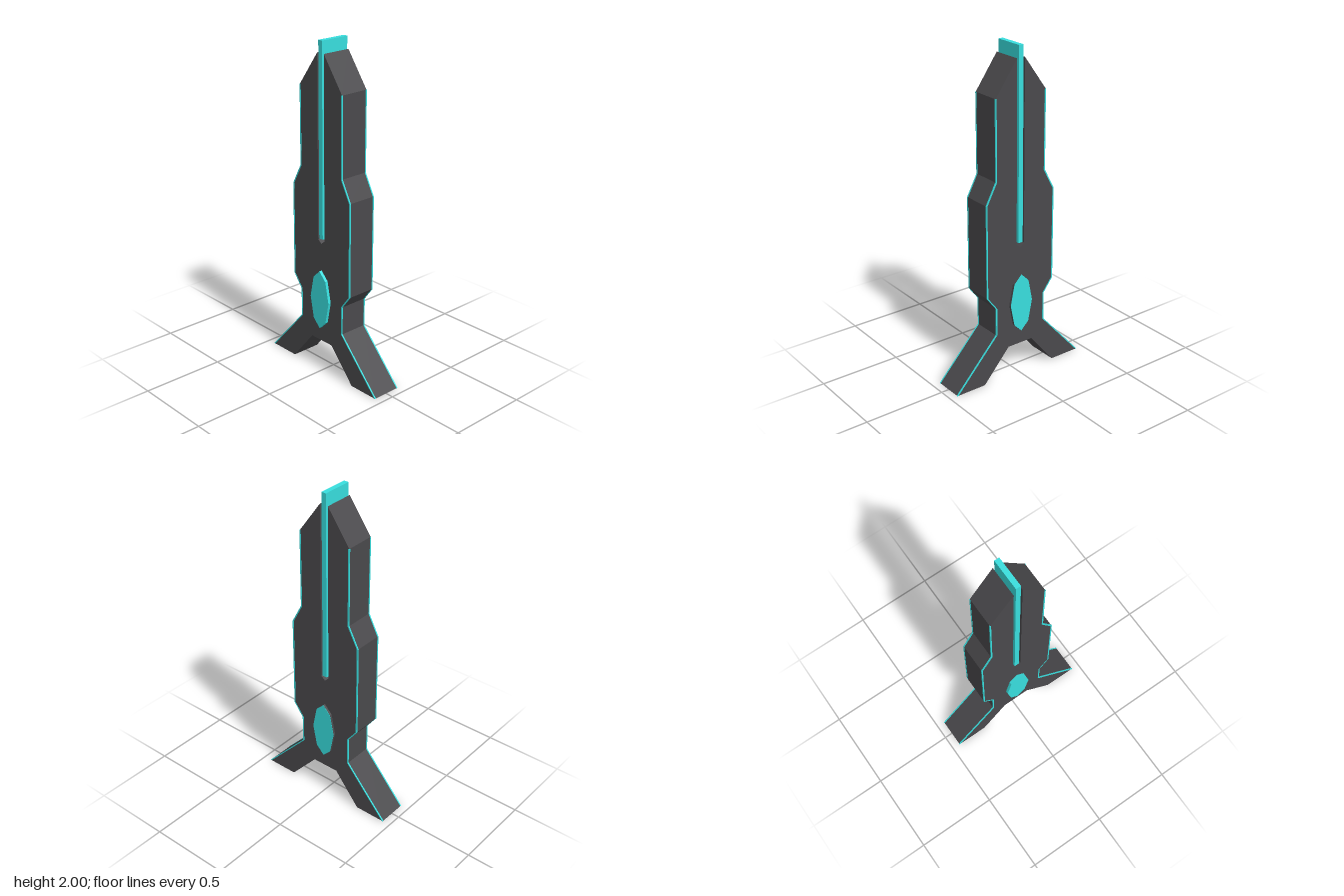
import * as THREE from 'three';

const dark = new THREE.MeshStandardMaterial({ color: 0x4a494c });
const cyan = new THREE.MeshStandardMaterial({ color: 0x38dede });

// Extrudes a [z, y] outline across x0..x1
function slab(name, points, x0, x1, material) {
  const shape = new THREE.Shape(points.map(([z, y]) => new THREE.Vector2(z, y)));
  const geometry = new THREE.ExtrudeGeometry(shape, { depth: x1 - x0, bevelEnabled: false });
  geometry.rotateY(-Math.PI / 2);
  geometry.translate(x1, 0, 0);
  const mesh = new THREE.Mesh(geometry, material);
  mesh.name = name;
  return mesh;
}

export function createModel() {
  const model = new THREE.Group();
  model.name = 'splitTower';
  const centre = -0.006;
  const half = 0.09;

  // Outer edge of one side, shoulder to foot: [distance from centre, y]
  const edge = [
    [0.171, 1.73], [0.171, 1.255], [0.237, 1.13], [0.237, 0.56],
    [0.174, 0.477], [0.174, 0.303], [0.45, 0],
  ];
  const side = (s, list) => list.map(([d, y], i) =>
    // feet are centred on zero
    [y === 0 ? s * d : centre + s * d, y]);

  // Body with forked top, slot and two splayed legs
  const inner = [[0.254, 0], [0.085, 0.197]];
  const outline = [
    [0.021, 1.93], ...side(1, [...edge, ...inner]),
    ...side(-1, [...edge, ...inner]).reverse(),
    [-0.032, 1.93], [-0.032, 0.842], [centre, 0.82], [0.021, 0.842],
  ];
  model.add(slab('body', outline, -half, half, dark));

  // Thin glowing trim along the four outer edges
  for (const s of [1, -1]) {
    const grow = (o) => side(s, edge).map(([z, y]) => [z + s * o, y]);
    const strip = [...grow(0.002), ...grow(-0.006).reverse()];
    model.add(slab('edgeTrim', strip, 0.084, 0.0915, cyan));
    model.add(slab('edgeTrim', strip, -0.0915, -0.084, cyan));
  }

  // Upright blade in the slot
  const blade = new THREE.Mesh(new THREE.BoxGeometry(0.184, 1.15, 0.03), cyan);
  blade.position.set(0, 1.425, centre);
  blade.name = 'blade';
  model.add(blade);

  // Eight-sided gems on both faces, one in a dark setting
  const gem = [
    [0, 0.653], [0.051, 0.602], [0.078, 0.47], [0.051, 0.336],
    [0, 0.285], [-0.051, 0.336], [-0.078, 0.47], [-0.051, 0.602],
  ].map(([z, y]) => [z - 0.004, y]);
  model.add(slab('gemRight', gem, -0.108, -0.08, cyan));
  model.add(slab('gemSetting', gem, 0.08, 0.104, dark));
  model.add(slab('gemLeft', gem, 0.104, 0.1055, cyan));

  return model;
}
